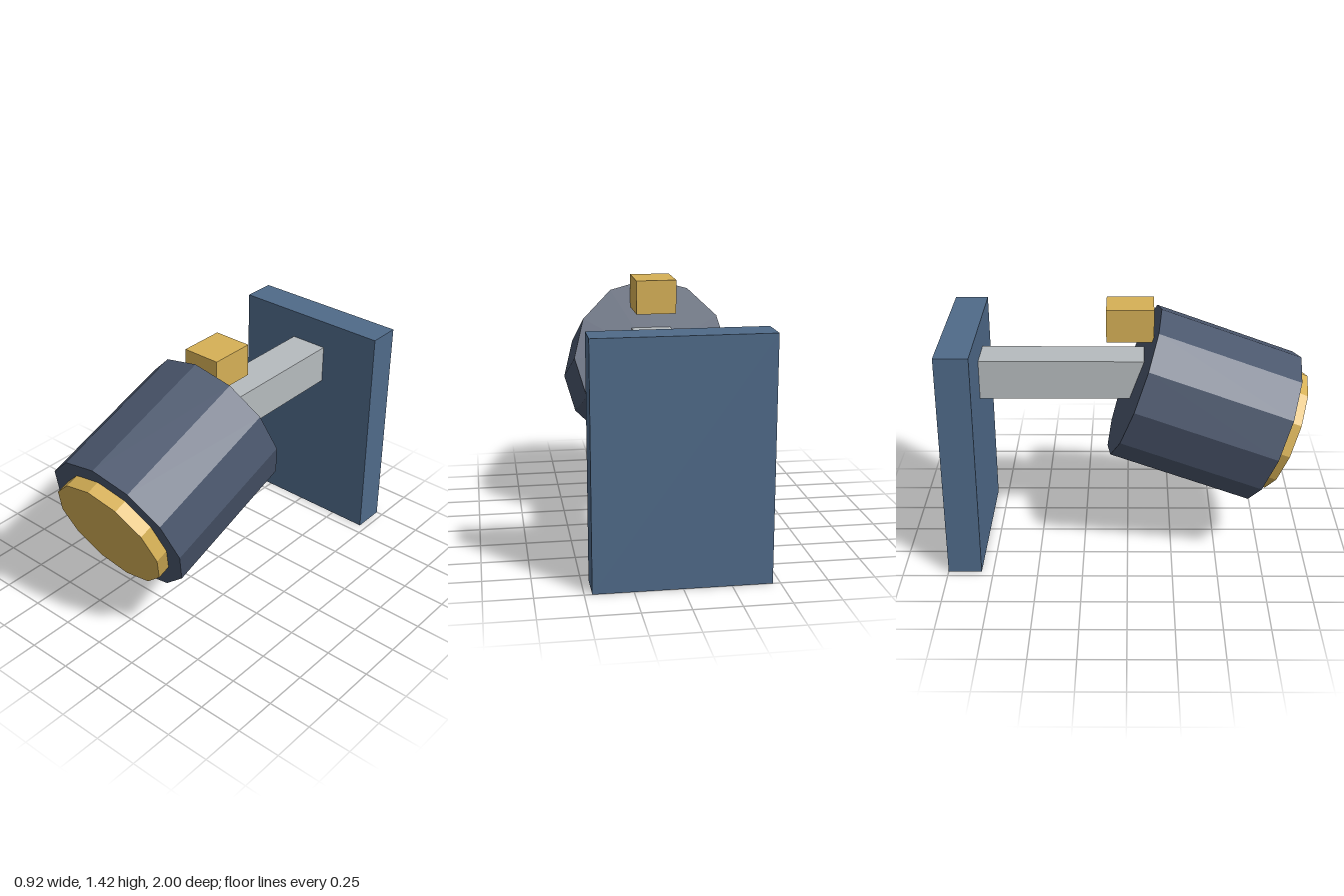
import * as THREE from 'three';

const paint = (color) => new THREE.MeshStandardMaterial({ color, flatShading: true });

export function createModel() {
  const model = new THREE.Group();
  const blue = paint(0x4f6a89);
  const slate = paint(0x4a566c);
  const gold = paint(0xd6b056);
  const steel = paint(0xb6bbbe);

  function add(parent, name, geometry, material, x, y, z) {
    const mesh = new THREE.Mesh(geometry, material);
    mesh.name = name;
    mesh.position.set(x, y, z);
    parent.add(mesh);
  }

  // Box given by its width and its extents in y and z, centred on x
  function addBox(name, material, width, y0, y1, z0, z1) {
    add(model, name, new THREE.BoxGeometry(width, y1 - y0, z1 - z0), material,
      0, (y0 + y1) / 2, (z0 + z1) / 2);
  }

  // Wall plate, the arm reaching into the lamp, and the block on top
  addBox('wallPlate', blue, 0.92, 0, 1.292, -1, -0.815);
  addBox('arm', steel, 0.22, 0.907, 1.128, -0.815, 0.2);
  addBox('topBlock', gold, 0.22, 1.24, 1.425, -0.115, 0.143);

  // Twelve-sided lamp head, its local +y axis pointing forward and 20 degrees down
  const head = new THREE.Group();
  head.name = 'lampHead';
  head.position.set(0, 0.835, 0.423);
  head.rotation.x = THREE.MathUtils.degToRad(110);
  add(head, 'housing', new THREE.CylinderGeometry(0.441, 0.441, 0.825, 12), slate, 0, 0, 0);
  add(head, 'lens', new THREE.CylinderGeometry(0.35, 0.35, 0.15, 12), gold, 0, 0.413, 0);
  model.add(head);

  return model;
}
